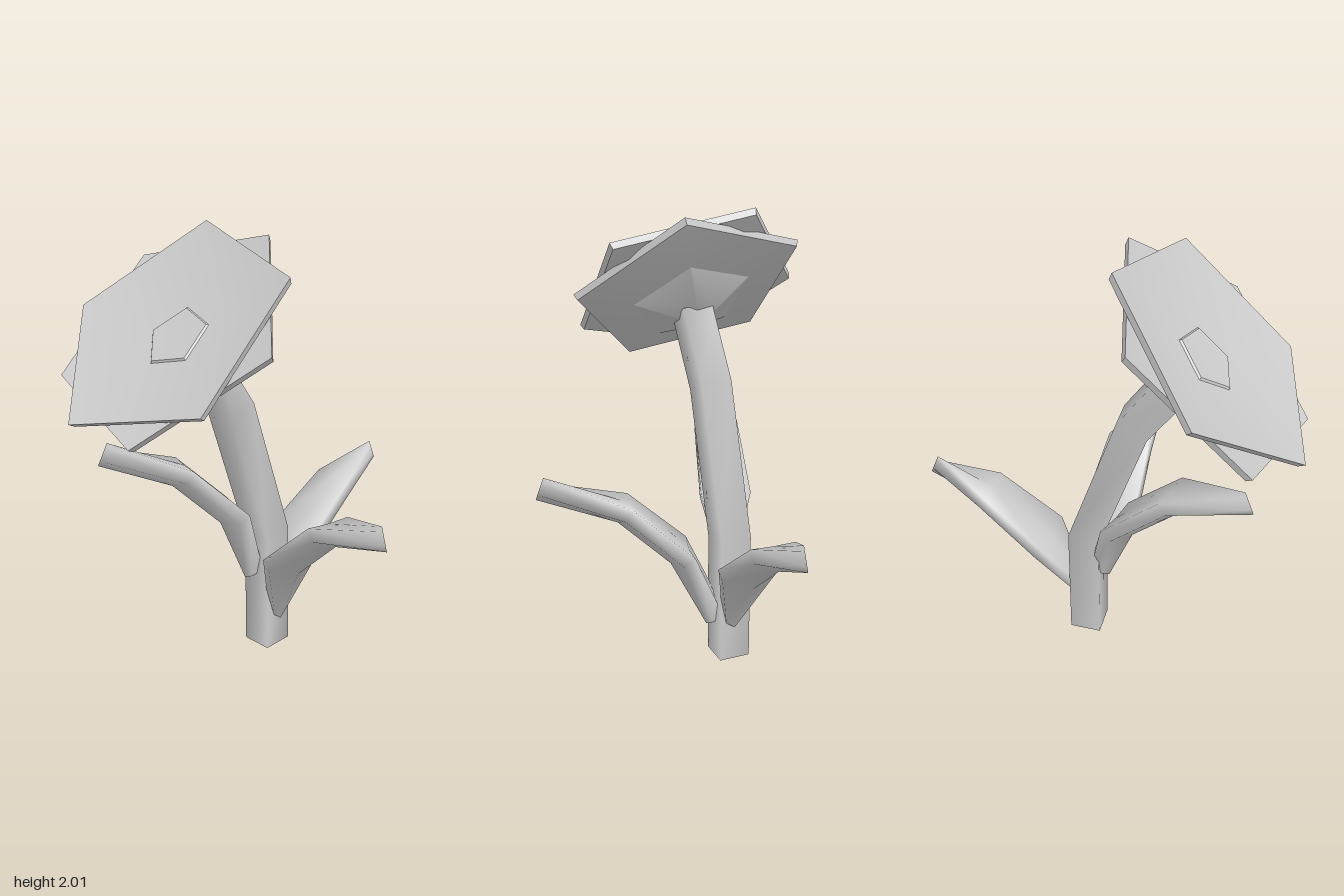
import * as THREE from 'three';
import { toCreasedNormals } from 'three/addons/utils/BufferGeometryUtils.js';

const V = (p) => new THREE.Vector3(...p);

// Closed loft: section(i) gives [across, up] points around each path point
function loft(path, side, section) {
  const pts = path.map(V), pos = [], idx = [];
  const n = section(0).length, last = pts.length - 1;
  pts.forEach((p, i) => {
    const a = pts[Math.max(0, i - 1)], b = pts[Math.min(last, i + 1)];
    const up = b.clone().sub(a).cross(side).normalize();
    for (const [u, v] of section(i)) {
      pos.push(...p.clone().addScaledVector(side, u).addScaledVector(up, v).toArray());
    }
  });
  for (let i = 0; i < last; i++) {
    for (let j = 0; j < n; j++) {
      const a = i * n + j, b = i * n + (j + 1) % n;
      idx.push(a, b, b + n, a, b + n, a + n);
    }
  }
  // end caps with their own vertices
  for (const ring of [0, last]) {
    const s = pos.length / 3;
    pos.push(...pos.slice(ring * n * 3, (ring + 1) * n * 3));
    for (let j = 1; j < n - 1; j++) {
      if (ring) idx.push(s, s + j, s + j + 1);
      else idx.push(s, s + j + 1, s + j);
    }
  }
  const g = new THREE.BufferGeometry();
  g.setAttribute('position', new THREE.Float32BufferAttribute(pos, 3));
  g.setIndex(idx);
  g.computeVertexNormals();
  return g;
}

// Five-sided turned shape
function pentagon(profile, start) {
  const pts = profile.map(([r, y]) => new THREE.Vector2(r, y));
  return toCreasedNormals(new THREE.LatheGeometry(pts, 5, start), 0.6);
}

export function createModel() {
  const model = new THREE.Group();
  const grey = new THREE.MeshStandardMaterial({ color: 0xcccccc });
  grey.name = 'light grey';
  const add = (name, geometry, parent = model) => {
    const m = new THREE.Mesh(geometry, grey);
    m.name = name;
    parent.add(m);
    return m;
  };

  // Square stem bending forward
  const s = 0.072;
  add('stem', loft(
    [[-0.14, 0, -0.085], [-0.14, 0.58, -0.085], [-0.14, 1.23, 0.13], [-0.14, 1.52, 0.33]],
    V([1, 0, 0]), () => [[-s, -s], [s, -s], [s, s], [-s, s]]));

  // Three thick leaves, pointed in plan with a blunt vertical tip
  const leaves = [
    ['leftLeaf', [[-0.08, 0.18, -0.08], [0.08, 0.5, -0.03], [0.33, 0.74, 0], [0.675, 0.87, 0.09]], [0.04, 0.26, 0.21, 0]],
    ['frontLeaf', [[-0.16, 0.38, -0.02], [-0.2, 0.7, 0.1], [-0.26, 0.95, 0.34], [-0.375, 1.105, 0.65]], [0.05, 0.23, 0.2, 0]],
    ['backLeaf', [[-0.125, 0.2, -0.14], [-0.14, 0.47, -0.3], [-0.12, 0.68, -0.57], [-0.11, 0.79, -0.825]], [0.06, 0.26, 0.2, 0]],
  ];
  for (const [name, path, widths] of leaves) {
    const heading = V(path[3]).sub(V(path[0])).setY(0);
    const side = V([0, 1, 0]).cross(heading).normalize();
    add(name, loft(path, side, (i) => {
      const w = widths[i] / 2, lift = w * 0.25;
      return [[-w, lift - 0.03], [0, -0.052], [w, lift - 0.03],
        [w, lift + 0.03], [0, 0.052], [-w, lift + 0.03]];
    }));
  }

  // Flower head, tilted up and forward
  const flower = new THREE.Group();
  flower.name = 'flower';
  flower.position.set(-0.155, 1.652, 0.459);
  flower.rotation.x = 0.75;
  model.add(flower);

  // Two shallow pentagon cups, turned opposite ways
  const cup = [[0, -0.13], [0.535, -0.03], [0.547, 0], [0, -0.1]];
  add('frontPetals', pentagon(cup, -Math.PI / 2), flower);
  add('backPetals', pentagon(cup, Math.PI / 2), flower).position.y = -0.036;

  // Low centre disc and the cone joining the stem
  add('flowerCentre', pentagon([[0, -0.11], [0.16, -0.085], [0.14, -0.065], [0, -0.07]], -Math.PI / 2), flower);
  add('flowerBase', pentagon([[0, -0.215], [0.08, -0.21], [0.31, -0.1], [0, -0.13]], Math.PI / 2), flower);

  return model;
}
